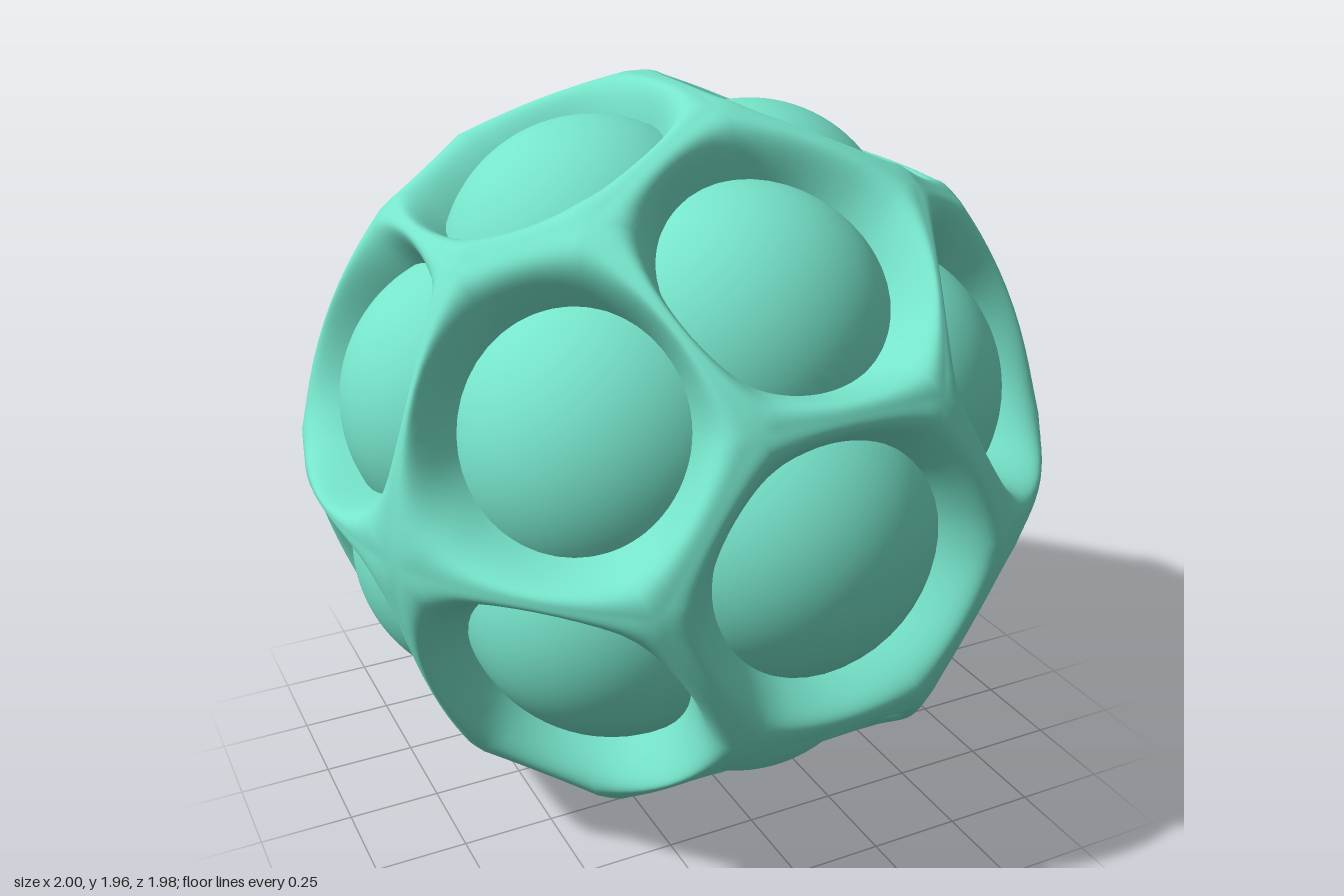
import * as THREE from 'three';
import { mergeVertices } from 'three/addons/utils/BufferGeometryUtils.js';

const V = (x, y, z) => new THREE.Vector3(x, y, z);
const EDGE_STEPS = 12, RINGS = 16;
const BALL_R = 0.4, PIT_R = 0.285, PIT_FLOOR = 0.8, RIM_ANGLE = 0.375;

// Five base ball directions, each with the distance of its ball's centre
const BASE = [
  [V(0, 0, 1), 0.59], [V(0, 0.735, 0.678), 0.55], [V(0.643, 0.386, 0.661), 0.535],
  [V(0.407, 0.913, 0), 0.56], [V(0.931, 0.365, 0), 0.555],
];

// All 22 balls, mirrored across the three planes
function ballSeats() {
  const seats = [];
  for (const [b, depth] of BASE)
    for (const sx of [1, -1]) for (const sy of [1, -1]) for (const sz of [1, -1]) {
      const dir = V(b.x * sx, b.y * sy, b.z * sz).normalize();
      if (!seats.some((o) => o.dir.distanceTo(dir) < 1e-3)) seats.push({ dir, depth });
    }
  return seats;
}

// Corners where three or more cells of the spherical frame meet
function cellCorners(dirs) {
  const corners = [];
  const n = dirs.length;
  for (let i = 0; i < n; i++) for (let j = i + 1; j < n; j++) for (let k = j + 1; k < n; k++) {
    const c = dirs[j].clone().sub(dirs[i]).cross(dirs[k].clone().sub(dirs[i]));
    if (c.length() < 1e-4) continue;
    c.normalize();
    if (c.dot(dirs[i]) < 0) c.negate();
    const reach = c.dot(dirs[i]);
    if (dirs.some((d) => d.dot(c) > reach + 1e-5)) continue;
    if (!corners.some((o) => o.distanceTo(c) < 1e-3)) corners.push(c);
  }
  return corners;
}

// Ridge between two corners: raised at its ends and toward front and back
function ridgePoint(a, b, t) {
  const angle = a.angleTo(b);
  const p = a.clone().multiplyScalar(Math.sin((1 - t) * angle))
    .addScaledVector(b, Math.sin(t * angle)).normalize();
  return p.multiplyScalar(1 + 0.015 * (2 * t - 1) ** 2 + 0.025 * p.z * p.z - 0.02 * p.y * p.y);
}

// One cell: rings sweep from the ridge over a nearly circular rim into the pit
function addCell(axis, dirs, corners, positions) {
  const u = V(axis.y, axis.z, axis.x).cross(axis).normalize();
  const v = axis.clone().cross(u);
  const azimuth = (p) => Math.atan2(p.dot(v), p.dot(u));
  const own = corners
    .filter((c) => dirs.every((d) => d.dot(c) <= axis.dot(c) + 1e-4))
    .sort((a, b) => azimuth(a) - azimuth(b));
  const pitAngle = Math.atan2(PIT_R, PIT_FLOOR);

  const columns = [];
  own.forEach((corner, i) => {
    const next = own[(i + 1) % own.length];
    for (let s = 0; s < EDGE_STEPS; s++) {
      const edge = ridgePoint(corner, next, s / EDGE_STEPS);
      const a = azimuth(edge);
      const side = u.clone().multiplyScalar(Math.cos(a)).addScaledVector(v, Math.sin(a));
      const pit = axis.clone().multiplyScalar(PIT_FLOOR).addScaledVector(side, PIT_R);
      // The rim handle lies in the tangent plane of the ridge
      const up = edge.clone().normalize();
      const rimAngle = Math.min(THREE.MathUtils.lerp(axis.angleTo(edge), pitAngle, 0.7), RIM_ANGLE);
      const rim = axis.clone().multiplyScalar(Math.cos(rimAngle)).addScaledVector(side, Math.sin(rimAngle));
      rim.multiplyScalar(edge.length() / rim.dot(up));
      const shoulder = edge.clone().lerp(rim, 0.6);
      columns.push(new THREE.CubicBezierCurve3(edge, shoulder, rim, pit).getPoints(RINGS));
    }
  });
  columns.forEach((col, i) => {
    const nextCol = columns[(i + 1) % columns.length];
    for (let k = 0; k < RINGS; k++)
      for (const p of [col[k], nextCol[k], col[k + 1], nextCol[k], nextCol[k + 1], col[k + 1]])
        positions.push(p.x, p.y, p.z);
  });
}

export function createModel() {
  const model = new THREE.Group();
  model.name = 'cagedBallSphere';
  const material = new THREE.MeshStandardMaterial({ color: 0x76e4ca });
  const seats = ballSeats();
  const dirs = seats.map((s) => s.dir);
  const corners = cellCorners(dirs);

  // Frame of rounded ridges
  const positions = [];
  for (const d of dirs) addCell(d, dirs, corners, positions);
  const soup = new THREE.BufferGeometry();
  soup.setAttribute('position', new THREE.Float32BufferAttribute(positions, 3));
  const geometry = mergeVertices(soup, 1e-4);
  geometry.computeVertexNormals();
  const frame = new THREE.Mesh(geometry, material);
  frame.name = 'frame';
  frame.position.y = 0.983;
  model.add(frame);

  // Domed balls seated in the pits
  const dome = new THREE.SphereGeometry(BALL_R, 40, 16, 0, Math.PI * 2, 0, 1.1);
  const balls = new THREE.Group();
  balls.name = 'balls';
  balls.position.y = 0.983;
  for (const { dir, depth } of seats) {
    const ball = new THREE.Mesh(dome, material);
    ball.name = 'ball';
    ball.position.copy(dir).multiplyScalar(depth);
    ball.quaternion.setFromUnitVectors(V(0, 1, 0), dir);
    balls.add(ball);
  }
  model.add(balls);
  return model;
}
